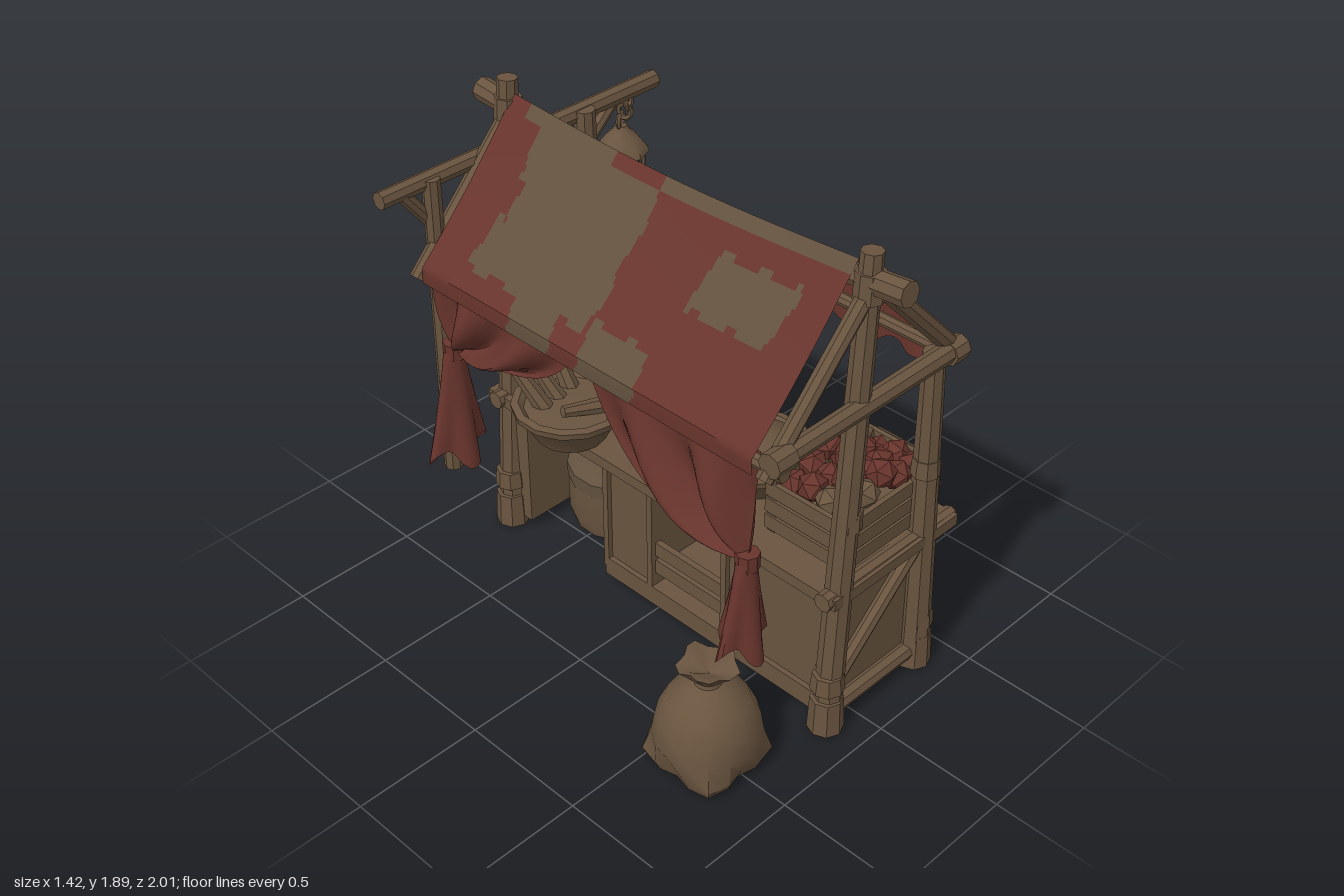
import * as THREE from 'three';
import { toCreasedNormals, mergeGeometries } from 'three/addons/utils/BufferGeometryUtils.js';

export function createModel() {
  const root = new THREE.Group();
  root.name = 'marketStall';
  const mat = (name, color, extra = {}) => Object.assign(new THREE.MeshStandardMaterial({ color, ...extra }), { name });
  const wood = mat('brown', 0x69543f);
  const tan = mat('tanCloth', 0x62513e, { side: THREE.DoubleSide });
  const red = mat('redCloth', 0x67342c, { side: THREE.DoubleSide });

  const add = (name, geo, m = wood, x = 0, y = 0, z = 0, parent = root) => {
    const mesh = new THREE.Mesh(toCreasedNormals(geo, 0.7), m);
    mesh.name = name;
    mesh.position.set(x, y, z);
    parent.add(mesh);
    return mesh;
  };
  const box = (name, w, h, d, x, y, z, m = wood) => add(name, new THREE.BoxGeometry(w, h, d), m, x, y, z);
  // Round timber between two points
  const pole = (name, a, b, r0, r1 = r0, m = wood, sides = 8) => {
    const A = new THREE.Vector3(...a), B = new THREE.Vector3(...b), d = B.clone().sub(A);
    const mesh = add(name, new THREE.CylinderGeometry(r1, r0, d.length(), sides, 1), m);
    mesh.position.copy(A).add(B).multiplyScalar(0.5);
    mesh.quaternion.setFromUnitVectors(new THREE.Vector3(0, 1, 0), d.normalize());
    return mesh;
  };
  const profile = pts => pts.map(p => new THREE.Vector2(...p));
  const lathe = (name, pts, x, y, z, m = wood, sides = 14, parent = root) =>
    add(name, new THREE.LatheGeometry(profile(pts), sides), m, x, y, z, parent);
  // Cloth sheet from a rule, with red or tan chosen per cell
  const sheet = (name, fn, nu, nv, isTan = () => false) => {
    const pos = [], lists = [[], []], w = nv + 1;
    for (let i = 0; i <= nu; i++) for (let j = 0; j <= nv; j++) pos.push(...fn(i / nu, j / nv));
    for (let i = 0; i < nu; i++) for (let j = 0; j < nv; j++) {
      const a = i * w + j, b = a + w;
      lists[isTan((i + 0.5) / nu, (j + 0.5) / nv) ? 1 : 0].push(a, b, b + 1, a, b + 1, a + 1);
    }
    const g = new THREE.BufferGeometry();
    g.setAttribute('position', new THREE.Float32BufferAttribute(pos, 3));
    g.setIndex([...lists[0], ...lists[1]]);
    g.addGroup(0, lists[0].length, 0);
    g.addGroup(lists[0].length, lists[1].length, 1);
    return add(name, g, [red, tan]);
  };
  const within = (v, a, b) => v > a && v < b;

  // Posts, feet, collars and end panels
  for (const [end, z, s] of [['front', 0.85, 1], ['back', -0.79, -1]]) {
    pole(end + 'RidgePost', [-0.125, 0, z], [-0.035, 1.89, z], 0.053, 0.038);
    pole(end + 'SidePost', [0.355, 0, z], [0.32, s > 0 ? 1.36 : 1.64, z], 0.06, 0.04);
    for (const x of [-0.125, 0.355]) {
      pole(end + 'Foot', [x, 0, z], [x, 0.14, z], 0.066, 0.06);
      pole(end + 'PostCollar', [x, 0.18, z], [x, 0.25, z], 0.062, 0.056);
      pole(end + 'UpperCollar', [x + (x < 0 ? 0.05 : -0.025), 0.86, z], [x + (x < 0 ? 0.055 : -0.025), 0.93, z], 0.052, 0.048);
    }
    pole(end + 'CounterBeam', [-0.18, 0.595, z], [0.5, 0.59, z], 0.035, 0.032);
    pole(end + 'BottomRail', [-0.12, 0.07, z], [0.36, 0.07, z], 0.035);
    pole(end + 'PanelBrace', s > 0 ? [-0.08, 0.2, z] : [-0.1, 0.52, z], s > 0 ? [0.3, 0.55, z] : [0.3, 0.16, z], 0.03);
    box(end + 'Panel', 0.46, 0.54, 0.09, 0.11, 0.31, z - s * 0.06);
    // Gable rafters and ridge stubs
    pole(end + 'LeftRafter', [-0.03, 1.765, z], [-0.49, 1.275, z], 0.03);
    pole(end + 'RightRafter', [-0.03, 1.79, z], [0.42, 1.33, z], 0.034);
    pole(end + 'RidgeLashing', [-0.04, 1.72, z], [-0.036, 1.82, z], 0.052, 0.05);
    pole(end + 'RidgeStub', [-0.035, 1.8, s > 0 ? 1 : -0.93], [-0.035, 1.785, z - s * 0.03], 0.045, 0.043);
  }
  // Ridge pole sags under the cloth
  const ridge = new THREE.CatmullRomCurve3([[0.84, 1.785], [0.5, 1.755], [0, 1.735], [-0.45, 1.755], [-0.78, 1.785]]
    .map(([z, y]) => new THREE.Vector3(-0.035, y, z)));
  add('ridgePole', new THREE.TubeGeometry(ridge, 12, 0.036, 8));
  pole('frontTieBeam', [-0.48, 1.34, 0.87], [0.43, 1.345, 0.87], 0.034, 0.038);
  pole('frontTieEnd', [0.36, 1.34, 0.87], [0.43, 1.34, 0.87], 0.046);
  pole('frontTieEnd', [-0.49, 1.34, 0.87], [-0.4, 1.34, 0.87], 0.045);
  pole('leftEavePole', [-0.45, 1.3, 0.9], [-0.44, 1.3, -0.82], 0.026);
  pole('rightEavePole', [0.39, 1.325, 0.9], [0.39, 1.325, -0.8], 0.024);
  // Rear crossbeam carrying the lantern and the hanging post
  pole('rearCrossbeam', [-0.6, 1.615, -0.82], [0.7, 1.62, -0.82], 0.033, 0.036);
  pole('hangingPost', [-0.39, 0.4, -0.8], [-0.39, 1.63, -0.8], 0.036, 0.034);
  pole('leftBracket', [-0.37, 1.43, -0.82], [-0.5, 1.6, -0.82], 0.027);
  pole('rightBracket', [0.33, 1.46, -0.82], [0.48, 1.6, -0.82], 0.027);
  pole('rearBrace', [-0.07, 1.12, -0.79], [0.26, 1.4, -0.79], 0.03);
  pole('rearBrace', [0.31, 1.1, -0.79], [0.12, 1.31, -0.79], 0.027);
  pole('redRearBrace', [-0.38, 1.01, -0.78], [-0.1, 1.34, -0.78], 0.034, 0.03, red);
  pole('counterBrace', [0.35, 0.33, -0.74], [0.35, 0.55, -0.52], 0.028);
  pole('counterBrace', [0.35, 0.3, 0.8], [0.35, 0.54, 0.6], 0.025);

  // Counter and open cabinet
  box('counterTop', 0.65, 0.045, 1.74, 0.165, 0.59, 0.02);
  box('cabinetBase', 0.5, 0.08, 1.07, 0.11, 0.09, 0.295);
  box('cabinetFrontBay', 0.46, 0.46, 0.45, 0.11, 0.34, 0.59);
  box('cabinetRearBay', 0.46, 0.46, 0.24, 0.11, 0.34, -0.12);
  for (const z of [0.365, -0.005, -0.235]) box('cabinetStile', 0.5, 0.48, 0.025, 0.11, 0.33, z);
  box('shelf', 0.44, 0.025, 0.35, 0.11, 0.2, 0.18);
  for (const x of [-0.11, 0.33]) for (const y of [0.22, 0.3])
    box('shelfSlat', 0.025, 0.06, 0.34, x, y, 0.18);

  // Patchwork canopy: a sagging slope on each side, the right one with a valance
  const zAt = u => 0.8 - 1.56 * u;
  const sag = (u, t) => 0.035 * Math.sin(Math.PI * u) * (1 - t) + 0.018 * Math.sin(Math.PI * Math.min(t, 1));
  const rag = (z, t) => z + 0.01 * Math.sin(t * 17) + 0.004 * Math.sin(t * 41);
  sheet('rightCanopy', (u, v) => {
    const z = zAt(u), t = v * 1.4, s = Math.min(t, 1), h = Math.max(0, t - 1) / 0.4;
    const drop = 0.14 + 0.035 * Math.abs(Math.sin(z * 9.5 + 0.4)) + 0.012 * Math.sin(z * 41);
    return [-0.035 + 0.465 * s + 0.012 * h * Math.sin(z * 24), 1.84 - 0.465 * s - h * drop - sag(u, s), z];
  }, 150, 35, (u, v) => {
    const t = v * 1.4, z = rag(zAt(u), t), w = t + 0.02 * Math.sin(z * 40);
    return within(z, 0.03, 0.31) || (within(z, -0.7, -0.35) && !(z < -0.6 && w > 1.1)) ||
      (within(z, 0.3, 0.67) && within(w, 0.27, 0.5)) || (within(z, 0.5, 0.67) && within(w, 0.27, 0.65)) ||
      (within(z, -0.36, -0.29) && within(w, 0.66, 0.92));
  });
  sheet('leftCanopy', (u, v) => {
    const t = v * 1.15, s = Math.min(t, 1), h = Math.max(0, t - 1) / 0.15;
    return [-0.035 - 0.455 * s, 1.84 - 0.51 * s - h * 0.06 - sag(u, s), zAt(u)];
  }, 150, 30, (u, v) => {
    const t = v * 1.15, z = rag(zAt(u), t), w = t + 0.02 * Math.sin(z * 40);
    if (t < 0.08) return !within(z, -0.23, 0) && z > -0.66;
    return (within(z, -0.58, 0) && w < 0.86 && !(z < -0.53 && within(w, 0.35, 0.55))) ||
      (within(z, -0.32, -0.12) && w > 0.8) || (within(z, 0.31, 0.66) && within(w, 0.22, 0.53)) ||
      (within(z, 0.02, 0.28) && w > 0.8);
  });

  // Tied-back curtains, each with a flared tail
  for (const [name, zEnd, zTop, tieY, low, tailEnd, flare] of
    [['front', 0.74, 0.8, 0.87, 0.7, 0.52, 0.05], ['rear', -0.69, -0.76, 1.0, 0.98, 0.57, 0.062]]) {
    sheet(name + 'Curtain', (u, v) => {
      const k = 1 - v, cz = zTop * (1 - 0.76 * u), cy = 1.12 + (low - 1.12) * u;
      const fold = Math.sin(u * 15) * 0.05 * Math.sin(Math.PI * Math.min(1, v * 0.95));
      return [-0.45 + 0.02 * v - 0.015 * Math.sin(Math.PI * v) + fold,
        k * k * 1.34 + 2 * k * v * cy + v * v * tieY,
        k * k * zTop * (1 - 0.99 * u) + 2 * k * v * cz + v * v * (zEnd + 0.02 * u)];
    }, 44, 12);
    pole(name + 'CurtainTie', [-0.43, tieY - 0.03, zEnd], [-0.43, tieY + 0.03, zEnd], 0.042, 0.042, red);
    sheet(name + 'CurtainTail', (u, v) => {
      const a = u * Math.PI * 2, r = (0.035 + flare * v) * (1 + 0.25 * v * Math.cos(a * 4));
      return [-0.435 - 0.015 * v + r * 1.1 * Math.cos(a), tieY + (tailEnd - tieY) * v + 0.04 * v * Math.sin(a * 3), zEnd + r * 0.85 * Math.sin(a)];
    }, 32, 6);
  }

  // Ragged bunting under the counter
  sheet('bunting', (u, v) => {
    const z = 0.72 - 1.34 * u, tooth = Math.abs(((u * 10) % 1) - 0.5) * 2;
    return [0.455 + 0.02 * Math.sin(z * 28) * v, 0.58 - v * (0.16 - 0.08 * tooth + 0.025 * Math.sin(z * 13)), z];
  }, 80, 3, u => [2, 3, 6].includes(Math.floor(u * 10)));

  // Grain sack on the ground, with pinched corners
  const sackGeo = new THREE.LatheGeometry(profile([[0, 0], [0.175, 0.002], [0.19, 0.035], [0.193, 0.12], [0.18, 0.2], [0.145, 0.275],
    [0.085, 0.325], [0.048, 0.345], [0.045, 0.36], [0.1, 0.425], [0.07, 0.42], [0, 0.38]]), 16);
  const sp = sackGeo.attributes.position;
  for (let i = 0; i < sp.count; i++) {
    const x = sp.getX(i), y = sp.getY(i), z = sp.getZ(i), a = Math.atan2(z, x);
    const k = y < 0.04 ? 1 + 0.17 * Math.cos(4 * a + Math.PI) : y > 0.4 ? 1 + 0.15 * Math.cos(5 * a) : 1;
    sp.setXYZ(i, x * k, y + (y > 0.4 ? 0.012 * Math.sin(3 * a) : 0), z * k);
  }
  add('grainSack', sackGeo, wood, -0.52, 0.005, 0.66);

  // Open tub under the counter
  lathe('tub', [[0, 0], [0.19, 0], [0.205, 0.05], [0.205, 0.24], [0.2, 0.27], [0.17, 0.27], [0.1, 0.31], [0, 0.32]], 0.17, 0.045, -0.475);
  lathe('tubCloth', [[0.208, 0.2], [0.21, 0.26], [0.18, 0.29], [0.1, 0.3]], 0.17, 0.045, -0.475, tan);

  // Slatted crate of fruit, mostly red
  for (const y of [0.66, 0.73, 0.8]) {
    for (const z of [0.48, 0.82]) box('crateSlat', 0.5, 0.058, 0.02, 0.2, y, z);
    for (const x of [-0.04, 0.44]) box('crateSlat', 0.02, 0.058, 0.34, x, y, 0.65);
  }
  box('crateFloor', 0.46, 0.13, 0.32, 0.2, 0.68, 0.65);
  for (const x of [-0.025, 0.425]) for (const z of [0.495, 0.805]) box('crateCorner', 0.035, 0.22, 0.035, x, 0.73, z);
  for (let i = 0; i < 20; i++) {
    const gx = i % 5, gz = Math.floor(i / 5);
    const fruit = add('fruit', new THREE.IcosahedronGeometry(0.058, 0), i % 6 === 4 ? wood : red, 0.03 + gx * 0.085, 0.855 - 0.025 * Math.abs(gx - 2) + 0.03 * ((i * 7) % 3) / 2, 0.535 + gz * 0.077);
    fruit.rotation.set(i, i * 2, i * 3);
  }
  sheet('crateCloth', (u, v) => [0.455 + 0.04 * v, 0.835 - v * (0.18 - 0.06 * Math.abs(u - 0.6) * 2), 0.74 - 0.2 * u], 6, 3, () => true);

  // Produce baskets: leafy heap, cabbages with hanging cloth, and a loaf bowl
  const bowl = [[0, 0], [0.14, 0], [0.2, 0.1], [0.225, 0.11], [0.23, 0.135], [0.2, 0.14], [0.18, 0.12], [0, 0.13]];
  lathe('frontBasket', bowl, 0.14, 0.615, 0.23);
  lathe('frontBasketHeap', [[0.19, 0], [0.15, 0.05], [0.08, 0.085], [0, 0.1]], 0.14, 0.735, 0.23, wood, 9);
  for (let i = 0; i < 9; i++) {
    const a = i * 2.4, r = 0.03 + 0.1 * (i / 9);
    pole('leaf', [0.14 + r * 0.3 * Math.cos(a), 0.8, 0.21 + r * 0.3 * Math.sin(a)],
      [0.14 + r * Math.cos(a), 0.92 - 0.006 * i, 0.21 + r * Math.sin(a)], 0.03, 0.004, wood, 5);
  }
  lathe('cabbageBasket', bowl, 0.2, 0.615, -0.27);
  for (let i = 0; i < 8; i++) {
    const a = i * Math.PI / 3.5, r = i ? 0.13 : 0;
    const head = add('cabbage', new THREE.IcosahedronGeometry(0.085, 1), wood, 0.2 + r * Math.cos(a), i ? 0.755 : 0.785, -0.29 + r * Math.sin(a));
    head.rotation.set(i, i * 1.7, 0);
  }
  for (let i = 0; i < 6; i++) {
    const a = i * 1.05;
    const flap = add('basketClothFlap', new THREE.CircleGeometry(0.09, 3, -Math.PI / 2), tan);
    flap.position.set(0.2 + 0.235 * Math.sin(a), 0.72, -0.27 + 0.235 * Math.cos(a));
    flap.rotation.y = a;
  }
  lathe('loafBowl', bowl.map(([r, y]) => [r * 0.95, y * 1.05]), -0.13, 0.615, -0.42);
  for (const [a, b] of [[[-0.2, 0.72, -0.47], [-0.27, 0.95, -0.62]], [[-0.05, 0.72, -0.5], [-0.06, 0.95, -0.63]],
    [[-0.12, 0.7, -0.46], [-0.17, 0.88, -0.58]], [[-0.02, 0.75, -0.3], [-0.22, 0.78, -0.36]]])
    pole('loaf', a, b, 0.036, 0.022, wood, 7);

  // Small pot and the jug
  lathe('smallPot', [[0, 0], [0.05, 0], [0.075, 0.07], [0.05, 0.15], [0.06, 0.2], [0.045, 0.2], [0, 0.17]], 0.27, 0.612, -0.56, wood, 10);
  lathe('jug', [[0, 0], [0.075, 0], [0.1, 0.06], [0.108, 0.14], [0.085, 0.22], [0.045, 0.265], [0.04, 0.3], [0.058, 0.325],
    [0.055, 0.355], [0.035, 0.355], [0, 0.33]], 0.2, 0.612, -0.7);
  const handle = add('jugHandle', new THREE.TorusGeometry(0.045, 0.012, 6, 10), wood, 0.13, 0.87, -0.7);
  handle.scale.y = 1.2;

  // Lantern on a chain
  const lantern = new THREE.Group();
  lantern.name = 'lantern';
  lantern.position.set(0.6, 0, -0.895);
  root.add(lantern);
  lathe('lanternRoof', [[0, 1.32], [0.085, 1.32], [0.107, 1.325], [0.1, 1.345], [0.065, 1.39], [0.035, 1.415], [0.024, 1.435], [0, 1.44]], 0, 0, 0, wood, 8, lantern);
  lathe('lanternBase', [[0, 1.085], [0.05, 1.085], [0.06, 1.11], [0.095, 1.14], [0.1, 1.165], [0.08, 1.175], [0, 1.175]], 0, 0, 0, wood, 8, lantern);
  const bars = [];
  for (let i = 0; i < 8; i++)
    bars.push(new THREE.CylinderGeometry(0.009, 0.009, 0.17, 5).translate(0.083 * Math.cos(i * Math.PI / 4), 1.245, 0.083 * Math.sin(i * Math.PI / 4)));
  add('lanternBars', mergeGeometries(bars), wood, 0, 0, 0, lantern);
  for (let i = 0; i < 3; i++) {
    const link = add('chainLink', new THREE.TorusGeometry(0.026, 0.01, 5, 10), wood, 0, 1.455 + i * 0.048, i * 0.022, lantern);
    link.rotation.y = i * Math.PI / 2 + 0.4;
    link.scale.y = 1.2;
  }
  return root;
}
